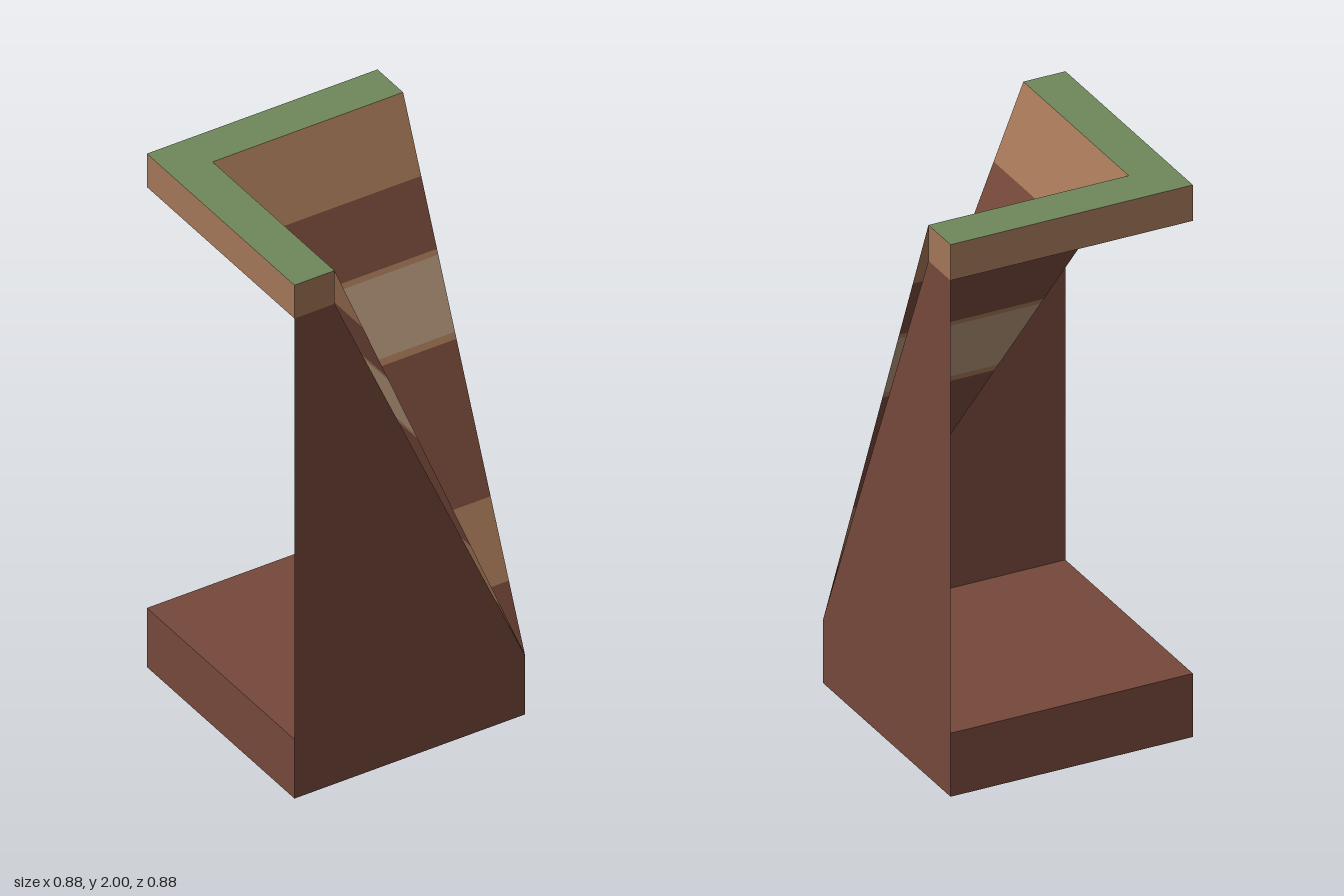
import * as THREE from 'three';

const H = 0.438;      // half width of the block
const IN = -0.286;    // inner edge of the grassy rim
const TOP = 2;
const RIM = 1.87;     // underside of the rim
const FLOOR = 0.23;   // top of the base, where the slopes meet

const material = (name, color) => {
  const m = new THREE.MeshStandardMaterial({ color, side: THREE.DoubleSide });
  m.name = name;
  return m;
};

// Flat convex polygon, corners counter-clockwise as seen from its front
function panel(name, mat, points) {
  const pts = points.filter((p, i) => i === 0 || p.some((v, k) => Math.abs(v - points[i - 1][k]) > 1e-6));
  const pos = [];
  for (let i = 1; i < pts.length - 1; i++) pos.push(...pts[0], ...pts[i], ...pts[i + 1]);
  const geo = new THREE.BufferGeometry();
  geo.setAttribute('position', new THREE.Float32BufferAttribute(pos, 3));
  geo.computeVertexNormals();
  const mesh = new THREE.Mesh(geo, mat);
  mesh.name = name;
  return mesh;
}

export function createModel() {
  const grass = material('grass green', 0x6f885b);
  const tan = material('tan soil', 0xa37657);
  const dark = material('dark red soil', 0x75483a);
  const beige = material('beige stone', 0xae9176);
  const model = new THREE.Group();
  model.name = 'terrainCutaway';

  // Adds a panel and its mirror image across the diagonal (x and z swapped)
  const pair = (name, mat, pts) => {
    model.add(panel(name + 'A', mat, pts));
    model.add(panel(name + 'B', mat, pts.map(([x, y, z]) => [z, y, x]).reverse()));
  };

  // Grassy L-shaped top
  pair('grassTop', grass, [[-H, TOP, -H], [IN, TOP, IN], [H, TOP, IN], [H, TOP, -H]]);

  // Rim below the grass, open underneath
  pair('rimOuter', tan, [[H, RIM, -H], [-H, RIM, -H], [-H, TOP, -H], [H, TOP, -H]]);
  pair('rimInner', tan, [[IN, RIM, IN], [H, RIM, IN], [H, TOP, IN], [IN, TOP, IN]]);
  pair('rimEnd', tan, [[H, RIM, IN], [H, RIM, -H], [H, TOP, -H], [H, TOP, IN]]);

  // Sloping walls made of soil layers, narrowing to the low corner
  const levels = [TOP, 1.737, 1.508, 1.49, 1.247, 1.225, 0.73, 0.465, FLOOR];
  const layers = [tan, dark, tan, beige, tan, dark, tan, dark];
  const depth = (y) => IN + (H - IN) * (TOP - y) / (TOP - FLOOR);
  layers.forEach((mat, i) => {
    const yt = levels[i], yb = levels[i + 1];
    const t = depth(yt), b = depth(yb);
    pair('slopeLayer' + (i + 1), mat, [[H, yb, b], [H, yt, t], [t, yt, t], [b, yb, b]]);
  });

  // Upright outer walls with a slanted edge
  pair('outerWall', dark, [[-H, 0, H], [H, 0, H], [H, FLOOR, H], [IN, RIM, H], [-H, RIM, H]]);

  // Low base, open underneath
  pair('baseWall', dark, [[H, 0, -H], [-H, 0, -H], [-H, FLOOR, -H], [H, FLOOR, -H]]);
  model.add(panel('baseTop', dark, [[-H, FLOOR, H], [H, FLOOR, H], [H, FLOOR, -H], [-H, FLOOR, -H]]));

  return model;
}
